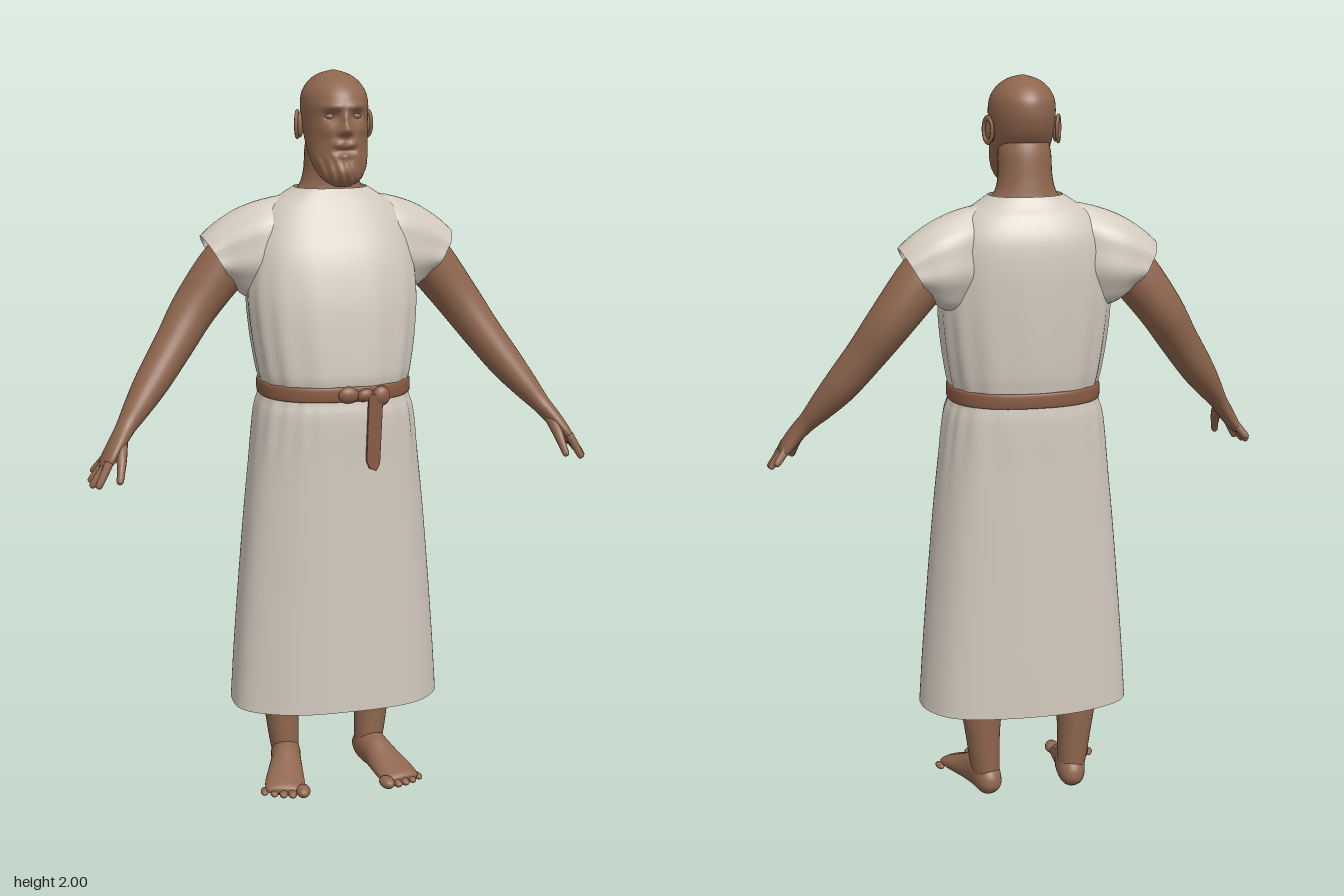
import * as THREE from 'three';

const V = (x, y, z) => new THREE.Vector3(x, y, z);
const skin = new THREE.MeshStandardMaterial({ color: 0x8f664e });
skin.name = 'skin';
const linen = new THREE.MeshStandardMaterial({ color: 0xd3cabe, side: THREE.DoubleSide });
linen.name = 'linen';
const leather = new THREE.MeshStandardMaterial({ color: 0x875a43 });
leather.name = 'leather';

// Smooth loft through rings { c, u, v }: centre and two half-axes; p is the superellipse power.
function loft(name, mat, rings, { seg = 32, steps = 4, p = 2, caps = true, warp } = {}) {
  const curve = k => new THREE.CatmullRomCurve3(rings.map(r => r[k]), false, 'catmullrom', 0.5);
  const [C, U, W] = ['c', 'u', 'v'].map(curve);
  const n = (rings.length - 1) * steps, pos = [], idx = [];
  const pow = a => Math.sign(a) * Math.pow(Math.abs(a), 2 / p);
  for (let i = 0; i <= n; i++) {
    const c = C.getPoint(i / n), u = U.getPoint(i / n), v = W.getPoint(i / n);
    for (let j = 0; j < seg; j++) {
      const a = j / seg * Math.PI * 2;
      const q = c.clone().addScaledVector(u, pow(Math.cos(a))).addScaledVector(v, pow(Math.sin(a)));
      if (warp) warp(q, a);
      pos.push(q.x, q.y, q.z);
    }
  }
  const mid = rings[Math.floor(rings.length / 2)];
  const along = rings[rings.length - 1].c.clone().sub(rings[0].c);
  const flip = mid.u.clone().cross(mid.v).dot(along) < 0;
  const tri = (a, b, c) => (flip ? idx.push(a, c, b) : idx.push(a, b, c));
  for (let i = 0; i < n; i++) for (let j = 0; j < seg; j++) {
    const k = (j + 1) % seg, a = i * seg + j, b = i * seg + k;
    tri(a, b, a + seg);
    tri(b, b + seg, a + seg);
  }
  if (caps) {
    const s = pos.length / 3, c0 = rings[0].c, c1 = rings[rings.length - 1].c;
    pos.push(c0.x, c0.y, c0.z, c1.x, c1.y, c1.z);
    for (let j = 0; j < seg; j++) {
      const k = (j + 1) % seg;
      tri(s, k, j);
      tri(s + 1, n * seg + j, n * seg + k);
    }
  }
  const g = new THREE.BufferGeometry();
  g.setAttribute('position', new THREE.Float32BufferAttribute(pos, 3));
  g.setIndex(idx);
  g.computeVertexNormals();
  const m = new THREE.Mesh(g, mat);
  m.name = name;
  return m;
}

// Horizontal ring: height, half width, front z, back z, centre x
const level = ([y, rx, zf, zb, cx = 0]) =>
  ({ c: V(cx, y, (zf + zb) / 2), u: V(rx, 0, 0), v: V(0, 0, (zf - zb) / 2) });

// Limb along points [x, y, z, thickness, breadth]; ref is the breadth direction
function limb(name, pts, s, ref, opt) {
  const c = pts.map(q => V(q[0] * s, q[1], q[2]));
  const rings = pts.map((q, i) => {
    const d = c[Math.min(i + 1, c.length - 1)].clone().sub(c[Math.max(i - 1, 0)]).normalize();
    const v = ref.clone().addScaledVector(d, -ref.dot(d)).normalize();
    return { c: c[i], u: v.clone().cross(d).multiplyScalar(q[3]), v: v.multiplyScalar(q[4]) };
  });
  return loft(name, skin, rings, opt);
}

function blob(name, mat, x, y, z, sx, sy, sz) {
  const m = new THREE.Mesh(new THREE.SphereGeometry(1, 20, 14), mat);
  m.position.set(x, y, z);
  m.scale.set(sx, sy, sz);
  m.name = name;
  return m;
}

function buildHead() {
  const g = new THREE.Group();
  g.name = 'head';
  // Face relief: |x|, y, spread x, spread y, depth
  const relief = [
    [.034, 1.886, .017, .012, -.015], [.03, 1.911, .028, .009, .008], [0, 1.852, .012, .014, .027],
    [0, 1.88, .009, .018, .012], [.014, 1.846, .007, .008, .009], [.047, 1.85, .018, .016, .006],
    [.02, 1.815, .017, .008, .009], [0, 1.797, .022, .004, -.014], [0, 1.784, .017, .005, .006],
    [.035, 1.785, .008, .02, .004], [0, 1.745, .026, .02, .008],
  ];
  g.add(loft('skull', skin, [
    [1.702, .022, .115, .07], [1.715, .045, .132, .05], [1.735, .062, .139, .02], [1.765, .074, .137, -.01],
    [1.80, .08, .133, -.055], [1.84, .084, .131, -.093], [1.88, .087, .13, -.112], [1.915, .088, .13, -.117],
    [1.945, .082, .118, -.111], [1.972, .064, .088, -.087], [1.99, .038, .05, -.052], [2, .005, .005, -.008],
  ].map(level), {
    seg: 112, steps: 7, warp: q => {
      if (q.z < .03) return;
      const x = Math.abs(q.x);
      let dz = 0;
      for (const [bx, by, sx, sy, d] of relief)
        dz += d * Math.exp(-(((x - bx) / sx) ** 2) - ((q.y - by) / sy) ** 2);
      // shallow tufts in the beard
      if (q.y < 1.78) dz += .002 * Math.sin(q.x * 300 + q.y * 90);
      q.z += dz;
    },
  }));
  g.add(loft('neck', skin, [[1.62, .125, .03, -.12], [1.665, .105, .036, -.112], [1.70, .082, .034, -.106],
    [1.74, .073, .035, -.1], [1.80, .071, .045, -.093], [1.84, .06, .04, -.08]].map(level)));
  for (const s of [-1, 1]) {
    g.add(blob('eyelid', skin, s * .034, 1.885, .099, .015, .010, .013));
    const ear = blob('ear', skin, s * .089, 1.857, -.008, .009, .034, .02);
    ear.rotation.y = s * .4;
    const rim = new THREE.Mesh(new THREE.TorusGeometry(.02, .005, 8, 24), skin);
    rim.name = 'earRim';
    rim.position.set(s * .096, 1.858, -.012);
    rim.rotation.y = Math.PI / 2 + s * .4;
    rim.scale.y = 1.6;
    g.add(ear, rim);
  }
  return g;
}

function buildArm(s) {
  const g = new THREE.Group(), z = V(0, 0, 1);
  g.name = s > 0 ? 'leftArm' : 'rightArm';
  g.add(limb('arm', [[.2, 1.56, -.06, .065, .07], [.28, 1.485, -.07, .07, .074], [.37, 1.37, -.066, .062, .07],
    [.435, 1.275, -.035, .054, .061], [.5, 1.185, .0, .047, .056], [.55, 1.12, .035, .036, .045],
    [.585, 1.075, .062, .026, .035], [.612, 1.04, .085, .022, .042], [.64, 1.0, .102, .018, .049],
    [.655, .978, .108, .011, .042]], s, z));
  for (const [tx, ty, tz, bz] of [[.676, .935, .155, .14], [.69, .932, .125, .119], [.69, .938, .09, .097], [.678, .955, .052, .073]]) {
    const bx = .642, by = 1.0, at = t => [bx + (tx - bx) * t, by + (ty - by) * t, bz + (tz - bz) * t];
    g.add(limb('finger', [[...at(0), .012, .013], [...at(.55), .011, .011], [...at(.92), .009, .009], [...at(1), .003, .003]], s, z, { seg: 12 }));
  }
  g.add(limb('thumb', [[.598, 1.05, .085, .015, .018], [.608, 1.01, .135, .014, .016], [.614, .98, .16, .011, .012],
    [.62, .955, .176, .009, .009], [.622, .949, .179, .003, .003]], s, V(0, .5, 1), { seg: 12 }));
  return g;
}

function buildLeg(s) {
  const g = new THREE.Group();
  g.name = s > 0 ? 'leftLeg' : 'rightLeg';
  const ground = q => { q.y = Math.max(q.y, 0); };
  g.add(loft('shin', skin, [[.03, .036, -.03, -.125, .122], [.1, .043, -.028, -.128, .128], [.17, .048, -.028, -.132, .133],
    [.25, .057, -.022, -.137, .136], [.36, .066, -.01, -.142, .136], [.5, .06, .015, -.11, .13], [.7, .075, .06, -.1, .12],
    [.95, .085, .08, -.1, .11]].map(r => level([...r.slice(0, 4), r[4] * s]))));
  g.add(limb('foot', [[.118, .025, -.137, .012, .014], [.12, .036, -.118, .038, .033], [.125, .05, -.07, .054, .042],
    [.135, .046, -.02, .05, .043], [.148, .034, .03, .037, .05], [.161, .023, .08, .026, .056],
    [.168, .017, .115, .018, .055], [.172, .014, .13, .01, .045]], s, V(1, 0, 0), { warp: ground }));
  for (let i = 0; i < 5; i++) {
    const r = i ? .0135 - i * .0006 : .02;
    const toe = blob('toe', skin, s * (.122 + i * .024 + (i ? .006 : 0)), r * .85, .138 - i * i * .0025, r, r * .85, r + .01);
    toe.rotation.y = s * .2;
    g.add(toe);
  }
  return g;
}

function buildRobe() {
  const g = new THREE.Group();
  g.name = 'robe';
  const fold = (q, k) => { q.x *= 1 + k; q.z *= 1 + k; };
  g.add(loft('skirt', linen, [[.25, .294, .165, -.176], [.4, .284, .165, -.176], [.6, .268, .165, -.175], [.8, .25, .165, -.174],
    [.95, .234, .165, -.173], [1.08, .218, .166, -.173], [1.125, .206, .16, -.17], [1.16, .198, .155, -.165]].map(level), {
    seg: 96, steps: 5, p: 2.5, caps: false,
    warp: (q, a) => {
      const gather = Math.exp(-(((q.y - 1.07) / .1) ** 2));
      fold(q, .012 * gather * Math.sin(19 * a + 2 * Math.sin(3 * a)) + .008 * Math.sin(7 * a + 1));
    },
  }));
  g.add(loft('bodice', linen, [[1.15, .197, .155, -.165], [1.185, .207, .163, -.171], [1.22, .214, .163, -.176], [1.3, .226, .156, -.181],
    [1.4, .234, .143, -.185], [1.5, .228, .118, -.186], [1.58, .212, .085, -.178], [1.635, .178, .062, -.155],
    [1.665, .138, .05, -.132], [1.69, .1, .041, -.114]].map(level), {
    seg: 96, steps: 5, p: 2.35, caps: false,
    warp: (q, a) => fold(q, .013 * THREE.MathUtils.smoothstep(1.6 - q.y, 0, .35) * Math.sin(15 * a + 2 * Math.sin(2 * a))),
  }));
  // Short sleeves: top x, top y, bottom x, bottom y, centre z, half depth
  for (const s of [-1, 1]) {
    g.add(loft(s > 0 ? 'leftSleeve' : 'rightSleeve', linen, [[.1, 1.672, .1, 1.4, -.045, .075], [.18, 1.657, .18, 1.385, -.055, .1],
      [.25, 1.632, .225, 1.39, -.066, .1], [.31, 1.595, .255, 1.41, -.07, .092], [.35, 1.56, .275, 1.432, -.07, .088]].map(
      ([tx, ty, bx, by, z, r]) => ({ c: V(s * (tx + bx) / 2, (ty + by) / 2, z), u: V(s * (tx - bx) / 2, (ty - by) / 2, 0), v: V(0, 0, r) })),
      { seg: 48, caps: false, warp: (q, a) => { q.z += .003 * Math.sin(8 * a); } }));
  }
  return g;
}

function buildBelt() {
  const g = new THREE.Group();
  g.name = 'belt';
  g.add(loft('beltBand', leather, [[1.132, .202, .16, -.171], [1.137, .209, .167, -.177], [1.168, .209, .167, -.177],
    [1.173, .202, .16, -.171]].map(level), { seg: 80, p: 2.4 }));
  // Knot wraps
  for (const [x, y, w, h, r] of [[.0, 1.152, .03, .023, 0], [.045, 1.15, .024, .018, .3], [.09, 1.145, .026, .028, -.3]]) {
    const k = blob('beltKnot', leather, x, y, .163, w, h, .017);
    k.rotation.z = r;
    g.add(k);
  }
  // Hanging end
  const t = new THREE.Shape([[.056, 1.15], [.05, .97], [.058, .95], [.075, .943], [.084, .96], [.092, 1.15]].map(p => new THREE.Vector2(...p)));
  const tail = new THREE.Mesh(new THREE.ExtrudeGeometry(t, { depth: .008, bevelSize: .002, bevelThickness: .002, bevelSegments: 2 }), leather);
  tail.position.z = .166;
  tail.name = 'beltTail';
  g.add(tail);
  return g;
}

export function createModel() {
  const model = new THREE.Group();
  model.name = 'robedMan';
  model.add(buildHead(), buildRobe(), buildBelt());
  for (const s of [-1, 1]) model.add(buildArm(s), buildLeg(s));
  return model;
}
